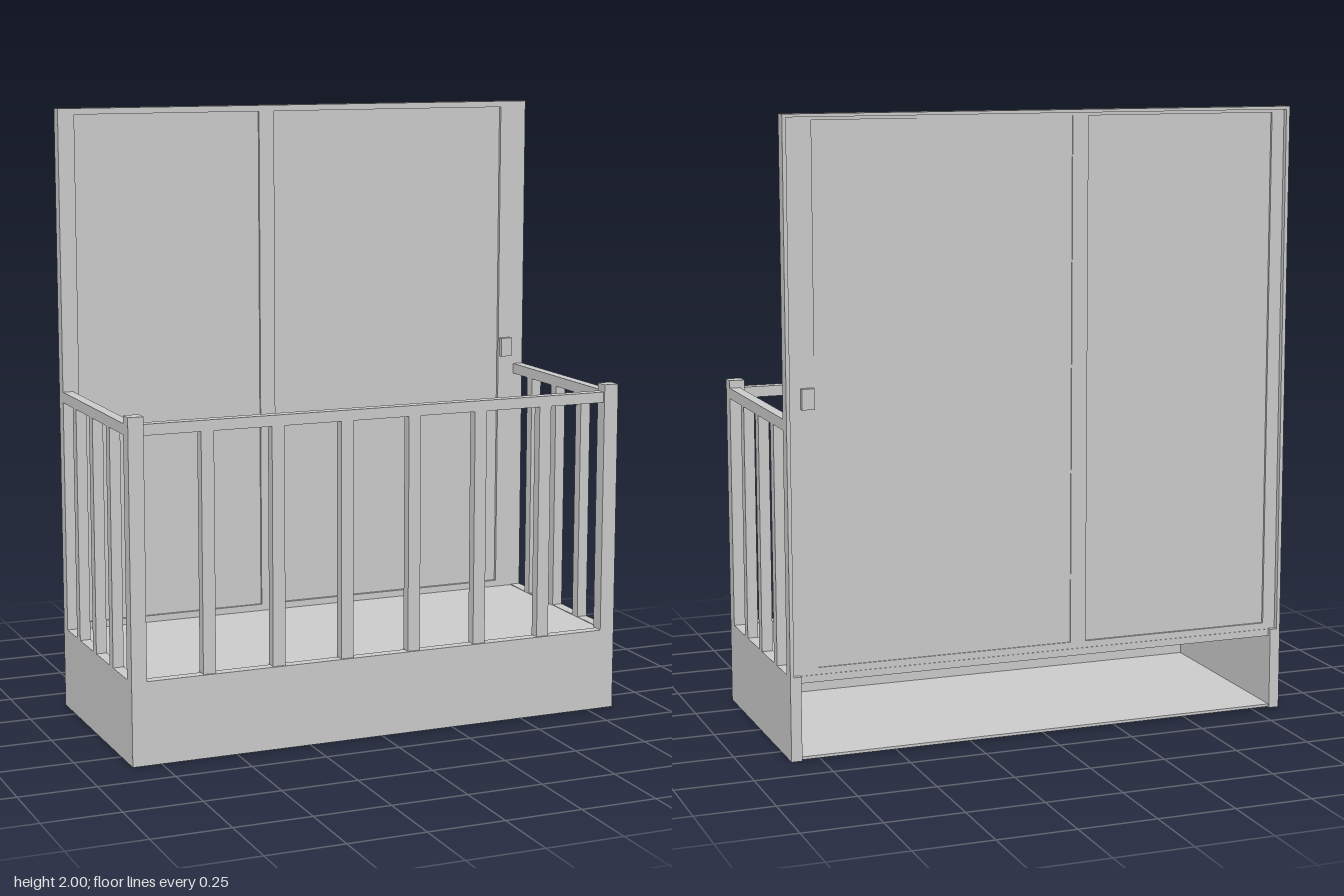
import * as THREE from 'three';

const material = new THREE.MeshStandardMaterial({ color: 0xcccccc, flatShading: true });

// Box given by its extents along each axis
function block(parent, name, [x0, x1], [y0, y1], [z0, z1]) {
  const mesh = new THREE.Mesh(new THREE.BoxGeometry(x1 - x0, y1 - y0, z1 - z0), material);
  mesh.name = name;
  mesh.position.set((x0 + x1) / 2, (y0 + y1) / 2, (z0 + z1) / 2);
  parent.add(mesh);
  return mesh;
}

// Mirrored pair on both sides of x = 0
function pair(parent, name, [x0, x1], y, z) {
  block(parent, name + 'Left', [x0, x1], y, z);
  block(parent, name + 'Right', [-x1, -x0], y, z);
}

function group(parent, name) {
  const g = new THREE.Group();
  g.name = name;
  parent.add(g);
  return g;
}

const W = 0.845, BACK = -0.367, FRONT = 0.367, DECK = 0.27;

// Hollow base, open at the back
function buildBase(parent) {
  const base = group(parent, 'base');
  pair(base, 'sideWall', [W - 0.035, W], [0, DECK], [BACK, FRONT]);
  block(base, 'frontWall', [-W + 0.035, W - 0.035], [0, DECK], [FRONT - 0.035, FRONT]);
  block(base, 'bottomPlate', [-W + 0.035, W - 0.035], [0.003, 0.012], [BACK + 0.005, FRONT - 0.035]);
  block(base, 'deck', [-W + 0.035, W - 0.035], [0.245, DECK - 0.002], [BACK + 0.015, FRONT - 0.035]);
}

// Corner posts, top rails and balusters
function buildRailing(parent) {
  const railing = group(parent, 'railing');
  const rail = [1.04, 1.075], bar = [DECK, 1.04];
  pair(railing, 'cornerPost', [0.795, W], [DECK, 1.1], [0.32, FRONT]);
  block(railing, 'frontRail', [-0.795, 0.795], rail, [0.325, 0.36]);
  pair(railing, 'sideRail', [0.81, W], rail, [-0.325, 0.32]);
  for (let i = 0; i < 6; i++) {
    const x = -0.587 + i * 0.2335;
    block(railing, 'frontBaluster', [x - 0.021, x + 0.021], bar, [0.325, 0.36]);
  }
  for (const z of [0.161, -0.018, -0.197]) {
    pair(railing, 'sideBaluster', [0.81, W], bar, [z - 0.018, z + 0.018]);
  }
}

// Sliding door wall: frame with two openings, panes, rim and handles
function buildDoor(parent) {
  const door = group(parent, 'slidingDoor');
  const shape = new THREE.Shape();
  const outline = (path, x0, x1, y0, y1) => path.moveTo(x0, y0).lineTo(x1, y0)
    .lineTo(x1, y1).lineTo(x0, y1).closePath();
  outline(shape, -W + 0.012, W - 0.012, 0.245, 1.99);
  for (const [x0, x1] of [[-0.79, -0.15], [-0.097, 0.75]]) {
    const hole = new THREE.Path();
    outline(hole, x0, x1, 0.29, 1.98);
    shape.holes.push(hole);
  }
  const frame = new THREE.Mesh(
    new THREE.ExtrudeGeometry(shape, { depth: 0.025, bevelEnabled: false }), material);
  frame.name = 'doorFrame';
  frame.position.z = -0.35;
  door.add(frame);

  block(door, 'fixedPane', [-0.8, -0.14], [0.28, 1.985], [-0.342, -0.334]);
  block(door, 'slidingPane', [-0.107, 0.76], [0.28, 1.985], [-0.346, -0.336]);

  // Outer rim
  pair(door, 'sideRim', [W - 0.012, W], [DECK, 1.99], [BACK, -0.325]);
  block(door, 'topRim', [-W, W], [1.99, 2], [BACK, -0.325]);

  // Handles on both faces
  block(door, 'frontHandle', [0.755, 0.795], [1.105, 1.17], [-0.325, -0.308]);
  block(door, 'backHandle', [0.755, 0.795], [1.105, 1.17], [BACK, -0.35]);
}

export function createModel() {
  const model = new THREE.Group();
  model.name = 'balcony';
  buildBase(model);
  buildRailing(model);
  buildDoor(model);
  return model;
}
